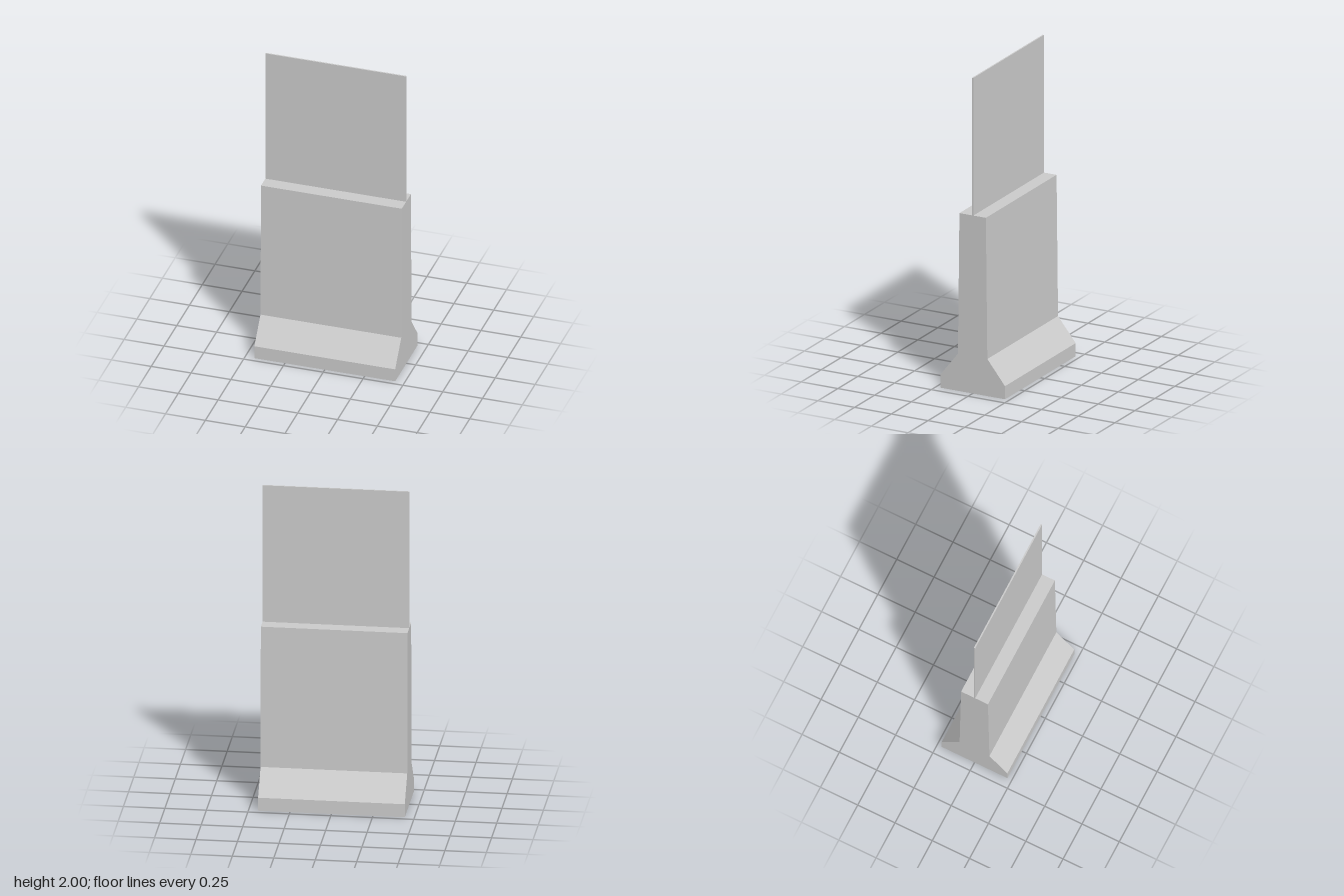
import * as THREE from 'three';

const WIDTH = 0.884;
const WALL_TOP = 1.128;

export function createModel() {
  const group = new THREE.Group();
  const material = new THREE.MeshStandardMaterial({ color: 0xcccccc, flatShading: true });

  // Barrier: symmetric cross-section (half depth, height) extruded along x
  const half = [[0.22, 0], [0.22, 0.083], [0.1, 0.235], [0.09, WALL_TOP]];
  const mirrored = half.map(([z, y]) => [-z, y]).reverse();
  const section = new THREE.Shape([...half, ...mirrored].map(([z, y]) => new THREE.Vector2(z, y)));
  const barrierGeometry = new THREE.ExtrudeGeometry(section, { depth: WIDTH, bevelEnabled: false });
  barrierGeometry.translate(0, 0, -WIDTH / 2).rotateY(Math.PI / 2);
  const barrier = new THREE.Mesh(barrierGeometry, material);
  barrier.name = 'barrierWall';
  group.add(barrier);

  // Thin screen standing on the wall top
  const screenHeight = 2 - WALL_TOP;
  const screen = new THREE.Mesh(new THREE.BoxGeometry(WIDTH, screenHeight, 0.009), material);
  screen.position.y = WALL_TOP + screenHeight / 2;
  screen.name = 'screenPanel';
  group.add(screen);

  return group;
}
